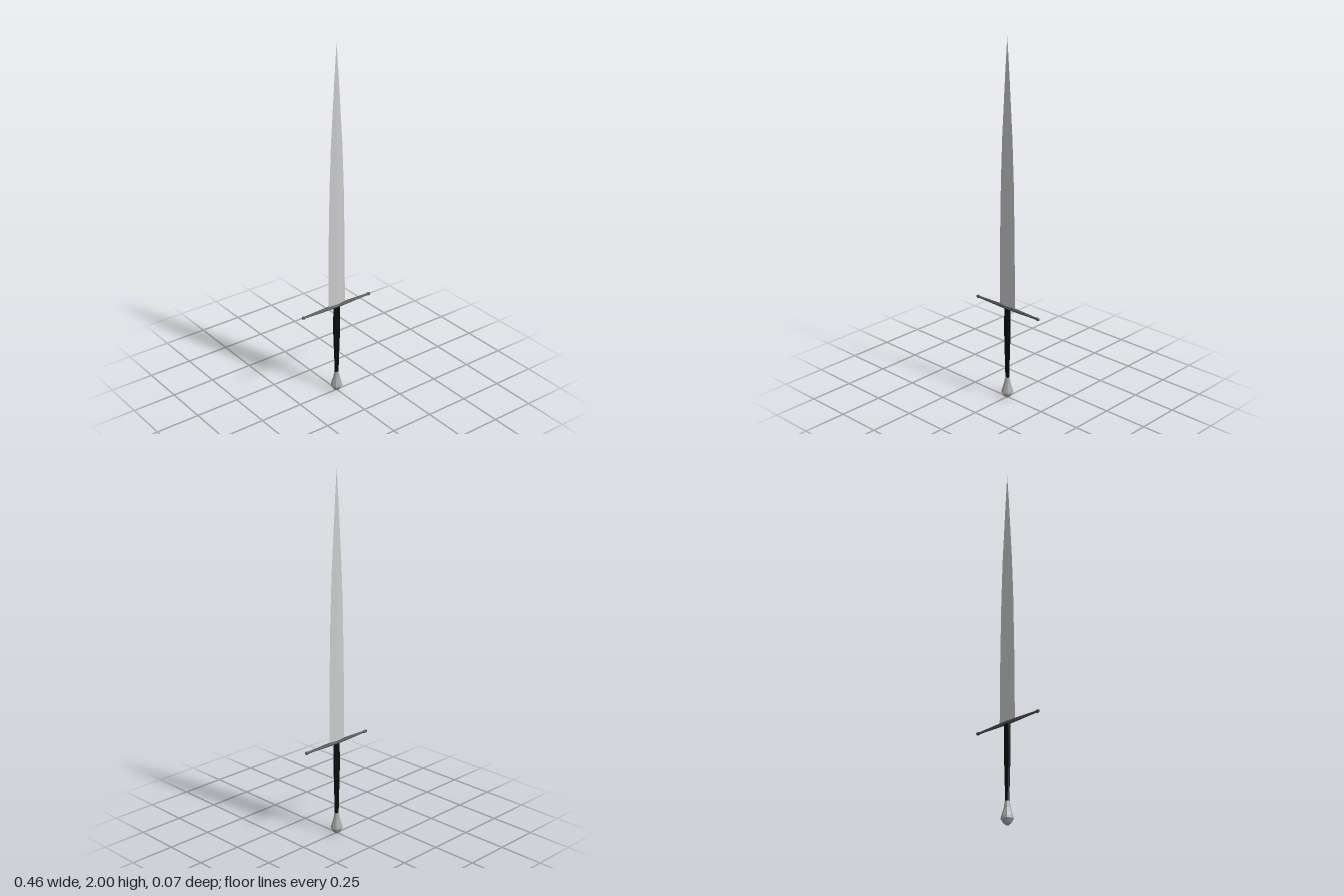
import * as THREE from 'three';

// Flat-shaded loft along y through elliptical rings [y, radiusX, radiusZ], capped at both ends
function loft(name, sections, sides, color) {
  const pos = [], idx = [];
  const first = sections[0], last = sections[sections.length - 1];
  const rings = [[first[0], 0, 0], ...sections, [last[0], 0, 0]];
  for (const [y, rx, rz] of rings) {
    for (let i = 0; i < sides; i++) {
      const a = (i / sides) * Math.PI * 2;
      pos.push(Math.sin(a) * rx, y, Math.cos(a) * rz);
    }
  }
  for (let r = 0; r < rings.length - 1; r++) {
    for (let i = 0; i < sides; i++) {
      const a = r * sides + i, b = r * sides + (i + 1) % sides;
      const c = a + sides, d = b + sides;
      if (r > 0) idx.push(a, b, d);
      if (r < rings.length - 2) idx.push(a, d, c);
    }
  }
  const geo = new THREE.BufferGeometry();
  geo.setAttribute('position', new THREE.Float32BufferAttribute(pos, 3));
  geo.setIndex(idx);
  geo.computeVertexNormals();
  const mesh = new THREE.Mesh(geo, new THREE.MeshStandardMaterial({ color, flatShading: true }));
  mesh.name = name;
  return mesh;
}

export function createModel() {
  const group = new THREE.Group();
  group.name = 'sword';

  // Double-edged blade with a diamond cross-section
  group.add(loft('blade', [
    [0.53, 0.056, 0.0055], [0.9, 0.053, 0.0048], [1.235, 0.046, 0.004],
    [1.48, 0.036, 0.0035], [1.82, 0.014, 0.002], [2.0, 0.0005, 0.0005],
  ], 4, 0xcccccc));

  // Tapered crossguard with flared end knobs, lofted upright then laid along x
  const half = [
    [0, 0.011, 0.0125], [0.1, 0.0085, 0.0095], [0.207, 0.0055, 0.006],
    [0.214, 0.0085, 0.009], [0.224, 0.0085, 0.009], [0.229, 0.005, 0.005],
  ];
  const mirrored = half.slice(1).reverse().map(([x, h, d]) => [-x, h, d]);
  const guard = loft('crossguard', [...mirrored, ...half], 8, 0x555555);
  guard.rotation.z = -Math.PI / 2;
  guard.position.y = 0.535;
  group.add(guard);

  // Flattened grip, swelling toward the guard
  group.add(loft('grip', [
    [0.115, 0.012, 0.009], [0.2, 0.016, 0.009], [0.31, 0.021, 0.0095],
    [0.4, 0.0245, 0.01], [0.47, 0.023, 0.01], [0.53, 0.021, 0.01],
  ], 8, 0x0c0c0c));

  // Faceted pear-shaped pommel
  group.add(loft('pommel', [
    [0, 0.01, 0.01], [0.009, 0.021, 0.021], [0.03, 0.033, 0.033],
    [0.042, 0.031, 0.031], [0.085, 0.018, 0.018], [0.12, 0.0125, 0.0125],
  ], 8, 0xaaaaaa));

  return group;
}
